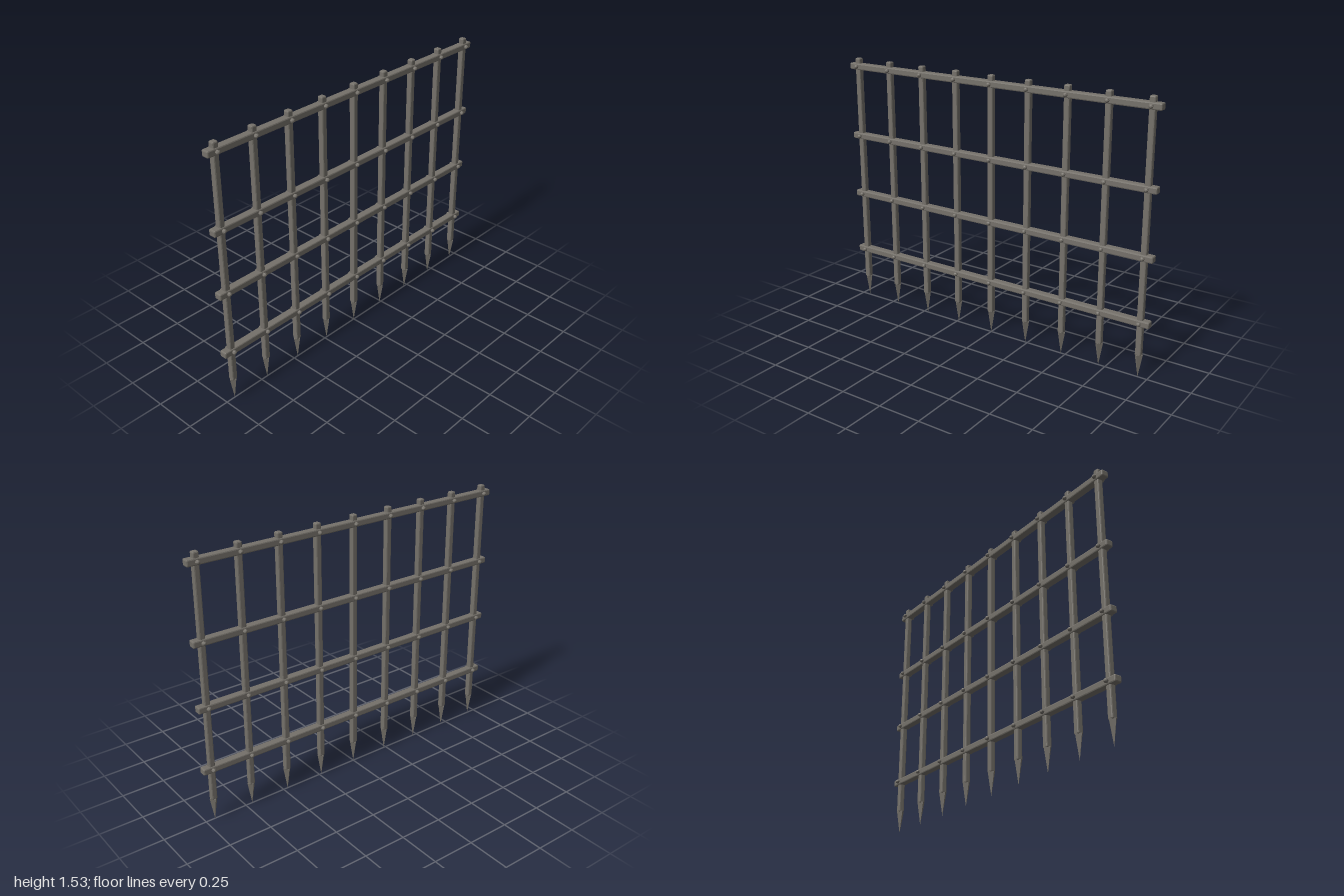
import * as THREE from 'three';
import { RoundedBoxGeometry } from 'three/addons/geometries/RoundedBoxGeometry.js';

export function createModel() {
  const group = new THREE.Group();
  const iron = new THREE.MeshStandardMaterial({ color: 0x75716a, flatShading: true });

  const barCount = 9, barSpan = 1.89;
  const railHeights = [0.32, 0.687, 1.055, 1.477];
  const spikeHeight = 0.135, top = 1.527;

  // Shared shapes: chamfered bars and rails, four-sided spikes, faceted rivets
  const barGeo = new RoundedBoxGeometry(0.034, top - spikeHeight + 0.005, 0.034, 1, 0.007);
  const railGeo = new RoundedBoxGeometry(2, 0.038, 0.044, 1, 0.007);
  const spikeGeo = new THREE.ConeGeometry(0.024, spikeHeight, 4);
  spikeGeo.rotateX(Math.PI);
  const rivetGeo = new THREE.SphereGeometry(0.0125, 8, 6);
  rivetGeo.rotateX(Math.PI / 2);

  const add = (name, geometry, x, y, z) => {
    const mesh = new THREE.Mesh(geometry, iron);
    mesh.name = name;
    mesh.position.set(x, y, z);
    group.add(mesh);
  };

  // Horizontal rails
  for (const y of railHeights) add('rail', railGeo, 0, y, 0);

  // Upright bars with a spike below and rivets on both faces of every crossing
  for (let i = 0; i < barCount; i++) {
    const x = (i / (barCount - 1) - 0.5) * barSpan;
    add('uprightBar', barGeo, x, (top + spikeHeight - 0.005) / 2, 0);
    add('spike', spikeGeo, x, spikeHeight / 2, 0);
    for (const y of railHeights) {
      for (const side of [1, -1]) add('rivet', rivetGeo, x, y, side * 0.028);
    }
  }
  return group;
}
